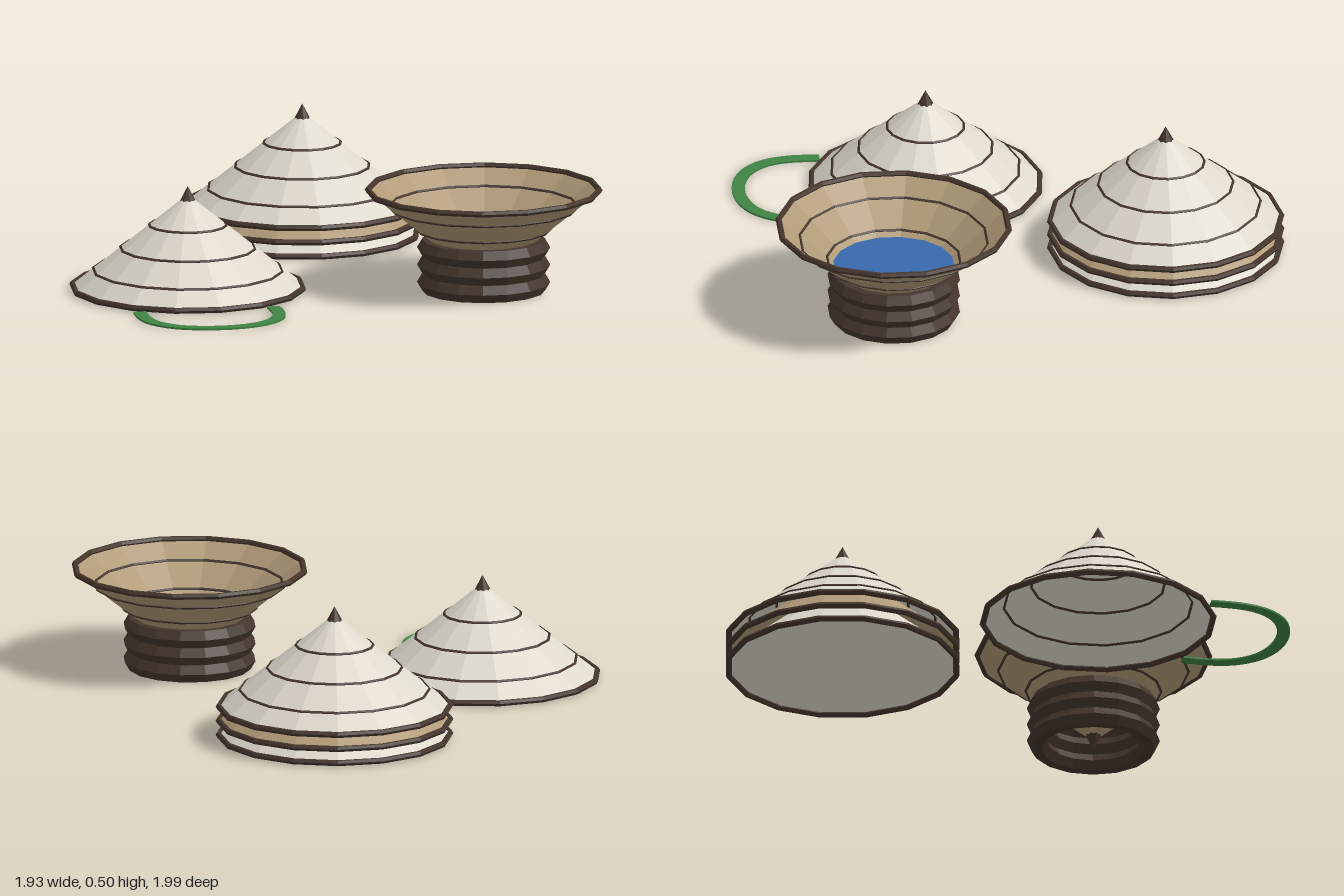
import * as THREE from 'three';

const SIDES = 16;
const BASE_R = 0.426, BASE_Y = 0.013, APEX_Y = 0.361, TOP_Y = 0.392;

const paint = (name, color) => {
  const m = new THREE.MeshStandardMaterial({ color, flatShading: true, side: THREE.DoubleSide });
  m.name = name;
  return m;
};

export function createModel() {
  const cream = paint('cream straw', 0xded8cc);
  const tan = paint('tan straw', 0xb09a78);
  const dark = paint('dark brown', 0x45352c);
  const blue = paint('water blue', 0x3868ac);
  const green = paint('strap green', 0x3f8444);

  const model = new THREE.Group();
  model.name = 'conicalHats';

  const add = (parent, name, geometry, material, y = 0) => {
    const mesh = new THREE.Mesh(geometry, material);
    mesh.name = name;
    mesh.position.y = y;
    parent.add(mesh);
    return mesh;
  };

  // Horizontal hoop with as many sides as the hats
  const hoop = (parent, name, radius, tube, y, radial = 6) =>
    add(parent, name, new THREE.TorusGeometry(radius, tube, radial, SIDES).rotateX(Math.PI / 2), dark, y);

  // Open cone with a rim; complete hats also get stitched rings and a tip
  function makeHat(name, material, complete = true) {
    const hat = new THREE.Group();
    hat.name = name;
    const h = APEX_Y - BASE_Y;
    add(hat, 'hatCone', new THREE.ConeGeometry(BASE_R, h, SIDES, 1, true), material, BASE_Y + h / 2);
    hoop(hat, 'hatRim', BASE_R, 0.0115, 0.014);
    if (complete) {
      for (const r of [0.142, 0.248, 0.349]) {
        hoop(hat, 'hatRing', r, 0.006, APEX_Y - h * r / BASE_R, 4);
      }
      add(hat, 'hatTip', new THREE.ConeGeometry(0.032, 0.06, 8), dark, TOP_Y - 0.03);
    }
    return hat;
  }

  // Single hat on the ground
  const single = makeHat('singleHat', cream);
  single.position.set(-0.534, 0, 0.278);
  single.rotation.y = 0.1;
  model.add(single);

  // Stack of three hats
  const stack = new THREE.Group();
  stack.name = 'hatStack';
  [cream, tan, cream].forEach((material, i) => {
    const hat = makeHat('stackedHat', material, i === 2);
    hat.position.y = i * 0.0535;
    stack.add(hat);
  });
  stack.position.set(0.053, 0, -0.558);
  stack.rotation.y = -0.02;
  model.add(stack);

  // Upturned hat holding water, resting in a ring basket
  const bowl = new THREE.Group();
  bowl.name = 'waterBowl';
  const upturned = makeHat('upturnedHat', tan);
  upturned.rotation.x = Math.PI;
  upturned.position.y = TOP_Y;
  bowl.add(upturned);
  add(bowl, 'water', new THREE.CircleGeometry(0.224, SIDES).rotateX(-Math.PI / 2), blue, 0.217);
  for (let i = 0; i < 3; i++) hoop(bowl, 'basketRing', 0.208, 0.037, 0.033 + i * 0.065);
  bowl.position.set(0.534, 0, 0.487);
  bowl.rotation.y = Math.PI / SIDES;
  model.add(bowl);

  // Flat chin strap lying in front of the single hat
  const half = [[0.25, 0.648], [0.25, 0.76], [0.225, 0.85], [0.165, 0.92], [0.085, 0.957]];
  const path = new THREE.SplineCurve([
    ...half.map(([x, z]) => new THREE.Vector2(-x, z)),
    new THREE.Vector2(0, 0.968),
    ...half.slice().reverse().map(([x, z]) => new THREE.Vector2(x, z)),
  ]);
  const inner = [], outer = [];
  for (let i = 0; i <= 28; i++) {
    const p = path.getPointAt(i / 28), t = path.getTangentAt(i / 28);
    const n = new THREE.Vector2(-t.y, t.x).multiplyScalar(0.024);
    inner.push(p.clone().sub(n));
    outer.push(p.clone().add(n));
  }
  const strapShape = new THREE.Shape([...outer, ...inner.reverse()]);
  const strapGeometry = new THREE.ExtrudeGeometry(strapShape, { depth: 0.007, bevelEnabled: false });
  strapGeometry.rotateX(Math.PI / 2);
  add(model, 'chinStrap', strapGeometry, green, 0.009).position.x = -0.534;

  return model;
}
